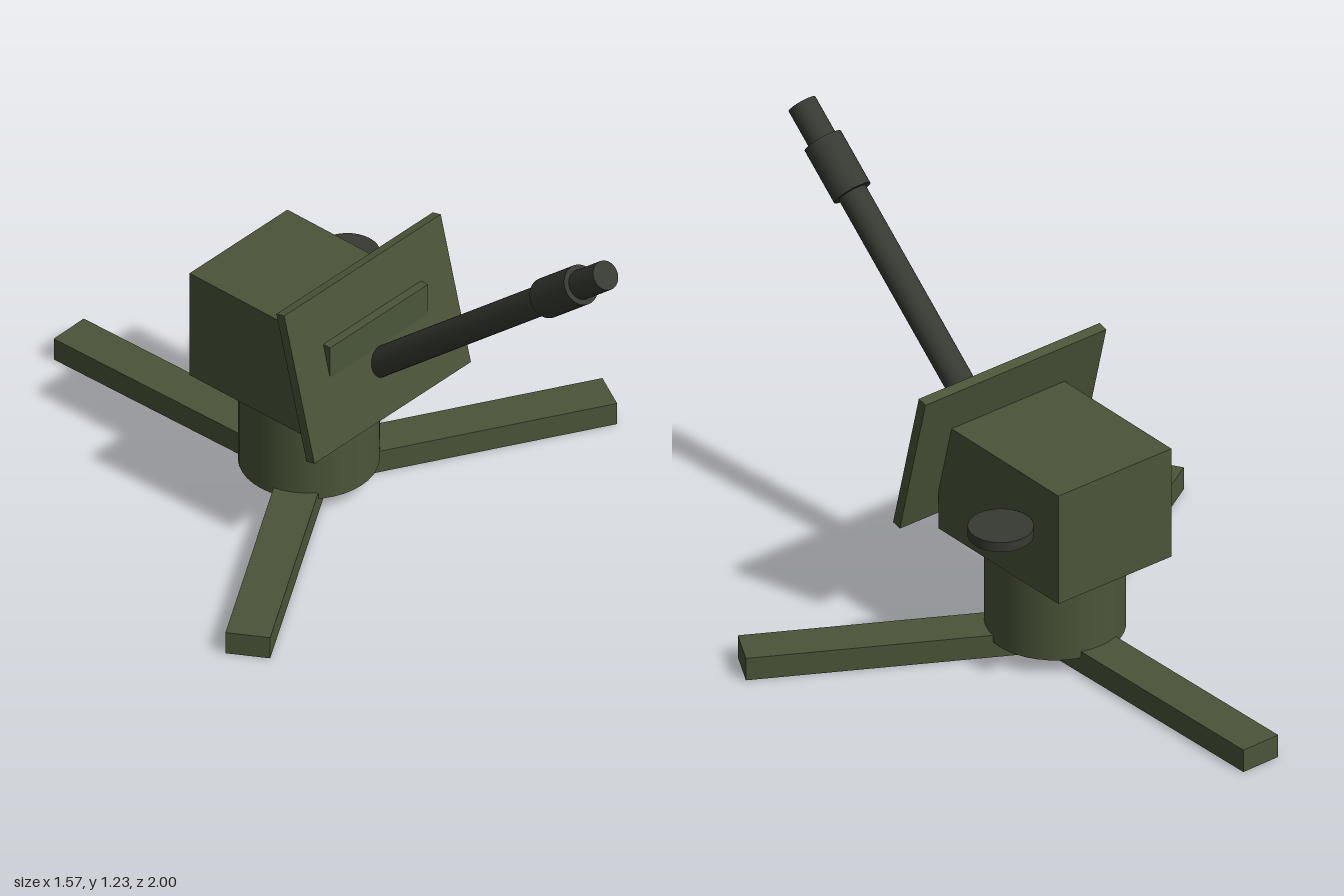
import * as THREE from 'three';

export function createModel() {
  const model = new THREE.Group();
  model.name = 'deckGun';

  const olive = new THREE.MeshStandardMaterial({ color: 0x4b5539 });
  olive.name = 'olive paint';
  const gunmetal = new THREE.MeshStandardMaterial({ color: 0x363a32 });
  gunmetal.name = 'dark gunmetal';

  const add = (name, geometry, material, x, y, z, parent = model) => {
    const mesh = new THREE.Mesh(geometry, material);
    mesh.name = name;
    mesh.position.set(x, y, z);
    parent.add(mesh);
    return mesh;
  };

  // Everything turns about the pedestal axis
  const cx = -0.01, cz = -0.125;

  // Three flat legs, 120 degrees apart, meeting under the pedestal
  const legLength = 0.873, legHeight = 0.07;
  const legGeometry = new THREE.BoxGeometry(legLength, legHeight, 0.125);
  legGeometry.translate(legLength / 2, legHeight / 2, 0);
  for (let i = 0; i < 3; i++) {
    const leg = add('leg' + (i + 1), legGeometry, olive, cx, 0, cz);
    leg.rotation.y = -THREE.MathUtils.degToRad(28.9 + i * 120);
  }

  // Pedestal and gun housing
  add('pedestal', new THREE.CylinderGeometry(0.195, 0.195, 0.27, 40), olive, cx, 0.185, cz);
  add('housing', new THREE.BoxGeometry(0.4, 0.345, 0.52), olive, cx, 0.483, cz);

  // Shield plate leaning back
  const shield = add('shield', new THREE.BoxGeometry(0.64, 0.46, 0.03), olive, cx, 0.572, 0.115);
  shield.rotation.x = -0.245;

  // Barrel assembly, built along +y and then tipped to its elevation
  const gun = new THREE.Group();
  gun.name = 'gun';
  gun.position.set(cx, 0.47, 0.1);
  gun.rotation.x = THREE.MathUtils.degToRad(50);
  model.add(gun);
  const tube = (name, radius, from, to) =>
    add(name, new THREE.CylinderGeometry(radius, radius, to - from, 32), gunmetal, 0, (from + to) / 2, 0, gun);
  tube('barrel', 0.042, -0.05, 0.9);
  tube('collar', 0.057, 0.855, 1.022);
  tube('muzzle', 0.042, 1.0, 1.14);

  // Round hand control on the left side
  add('handwheel', new THREE.CylinderGeometry(0.091, 0.091, 0.03, 32), gunmetal, 0.28, 0.515, -0.245);

  return model;
}
